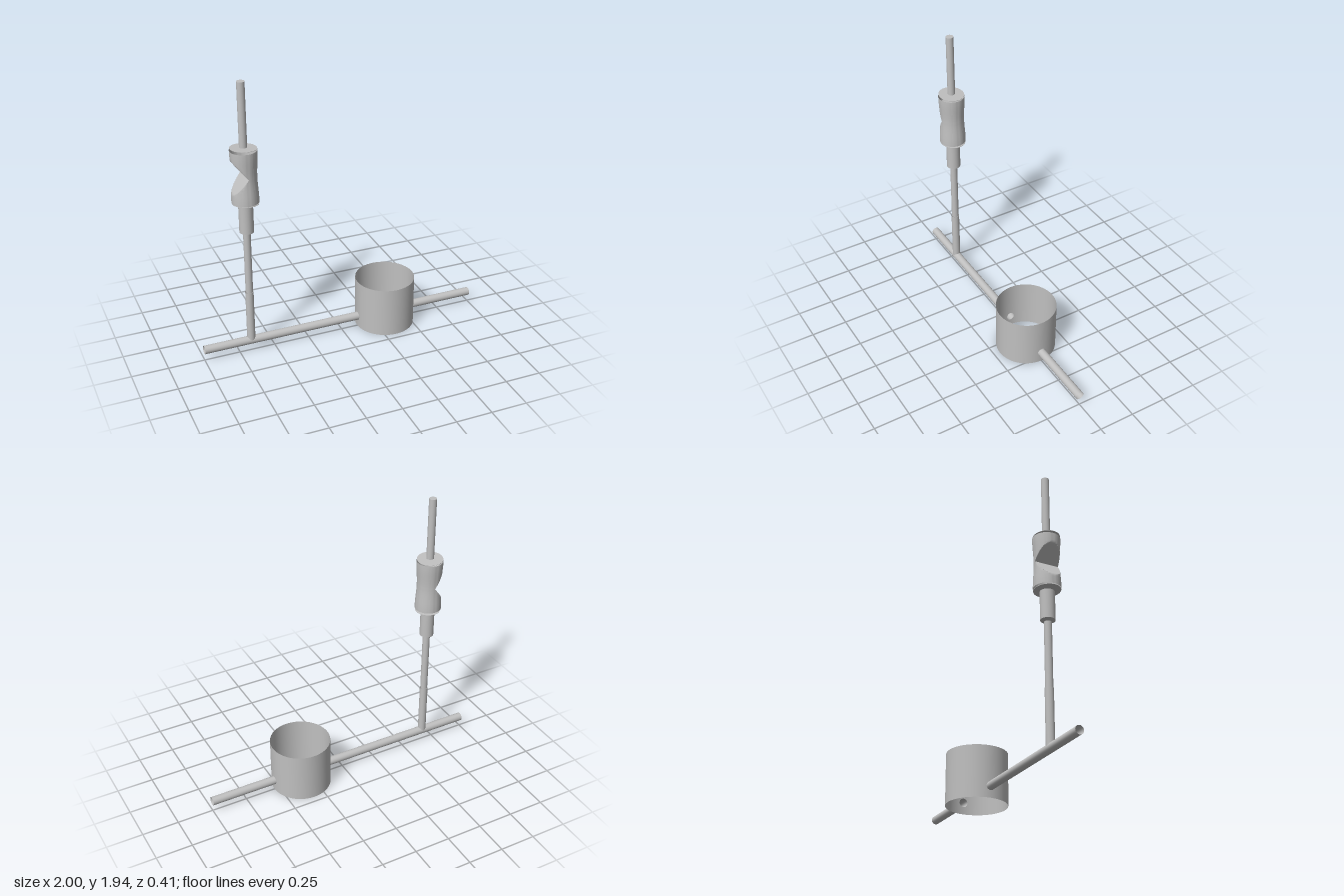
import * as THREE from 'three';
import { toCreasedNormals } from 'three/addons/utils/BufferGeometryUtils.js';

export function createModel() {
  const model = new THREE.Group();
  const metal = new THREE.MeshStandardMaterial({ color: 0xc0c0c0, side: THREE.DoubleSide });
  metal.name = 'greyMetal';

  const add = (name, geometry, x = 0, y = 0, z = 0) => {
    const mesh = new THREE.Mesh(geometry, metal);
    mesh.name = name;
    mesh.position.set(x, y, z);
    model.add(mesh);
    return mesh;
  };

  const pipeY = 0.08, pipeR = 0.029, mastX = -0.666;
  const cupX = 0.328, cupR = 0.207, cupH = 0.355;

  // Hollow horizontal pipe, interrupted by the cup
  const pipe = (name, x0, x1) => {
    const g = new THREE.CylinderGeometry(pipeR, pipeR, x1 - x0, 24, 1, true).rotateZ(Math.PI / 2);
    add(name, g, (x0 + x1) / 2, pipeY);
  };
  pipe('endPipe', -1, -0.34);
  pipe('middlePipe', -0.34, cupX - cupR + 0.002);
  pipe('outletPipe', cupX + cupR - 0.002, 1);

  // Open cup wall: two plain arcs and two narrow panels pierced by the pipe
  const half = 0.2;
  for (const side of [0, Math.PI]) {
    const arc = new THREE.CylinderGeometry(cupR, cupR, cupH, 24, 1, true,
      side + Math.PI / 2 + half, Math.PI - 2 * half);
    add('cupWall', arc, cupX, cupH / 2);

    const w = half * cupR, outline = [];
    for (let i = 0; i <= 6; i++) outline.push(new THREE.Vector2(-w + (w * i) / 3, 0));
    for (let i = 6; i >= 0; i--) outline.push(new THREE.Vector2(-w + (w * i) / 3, cupH));
    const shape = new THREE.Shape(outline);
    shape.holes.push(new THREE.Path().absarc(0, pipeY, pipeR, 0, Math.PI * 2, true));
    const panel = new THREE.ShapeGeometry(shape, 12);
    const p = panel.attributes.position, n = panel.attributes.normal;
    for (let i = 0; i < p.count; i++) {
      const a = side + Math.PI / 2 + p.getX(i) / cupR;
      p.setXYZ(i, Math.sin(a) * cupR, p.getY(i), Math.cos(a) * cupR);
      n.setXYZ(i, Math.sin(a), 0, Math.cos(a));
    }
    add('piercedCupPanel', panel, cupX);
  }

  // Mast socket, with its lower edge saddled onto the pipe
  const socketR = 0.028;
  const socket = new THREE.CylinderGeometry(socketR, socketR, 0.46, 24, 1, true).translate(0, 0.23, 0);
  const sp = socket.attributes.position;
  for (let i = 0; i < sp.count; i++) {
    if (sp.getY(i) < 0.1) {
      sp.setY(i, pipeY + Math.sqrt(Math.max(0, pipeR ** 2 - sp.getZ(i) ** 2)));
    }
  }
  add('mastSocket', socket, mastX);

  // Upright rods and collar
  const upright = (name, r, y0, y1, open) =>
    add(name, new THREE.CylinderGeometry(r, r, y1 - y0, 24, 1, open), mastX, (y0 + y1) / 2);
  upright('lowerRod', 0.025, 0.46, 0.9, true);
  upright('collar', 0.048, 0.912, 1.11, false);
  upright('upperRod', 0.026, 1.508, 1.942, false);

  // Slightly waisted body with a V notch cut from its -x side
  const bodyH = 0.36, bodyY = 1.31, bodyR = 0.09;
  const body = new THREE.CylinderGeometry(bodyR, bodyR, bodyH, 64, 36, true);
  const bp = body.attributes.position;
  for (let i = 0; i < bp.count; i++) {
    const y = bp.getY(i);
    const waist = 1 - 0.09 * Math.cos((Math.PI / 2) * (y / (bodyH / 2))) ** 2;
    const cut = 0.003 - Math.abs(y) * 0.79;
    bp.setXYZ(i, Math.max(bp.getX(i) * waist, cut), y, bp.getZ(i) * waist);
  }
  add('notchedBody', toCreasedNormals(body, 0.5), mastX, bodyY);

  // Thin, slightly tilted end discs
  for (const [name, y] of [['topDisc', 1.502], ['bottomDisc', 1.12]]) {
    const disc = add(name, new THREE.CylinderGeometry(0.088, 0.088, 0.002, 40), mastX, y);
    disc.rotation.set(-0.05, 0, -0.05);
  }

  return model;
}
